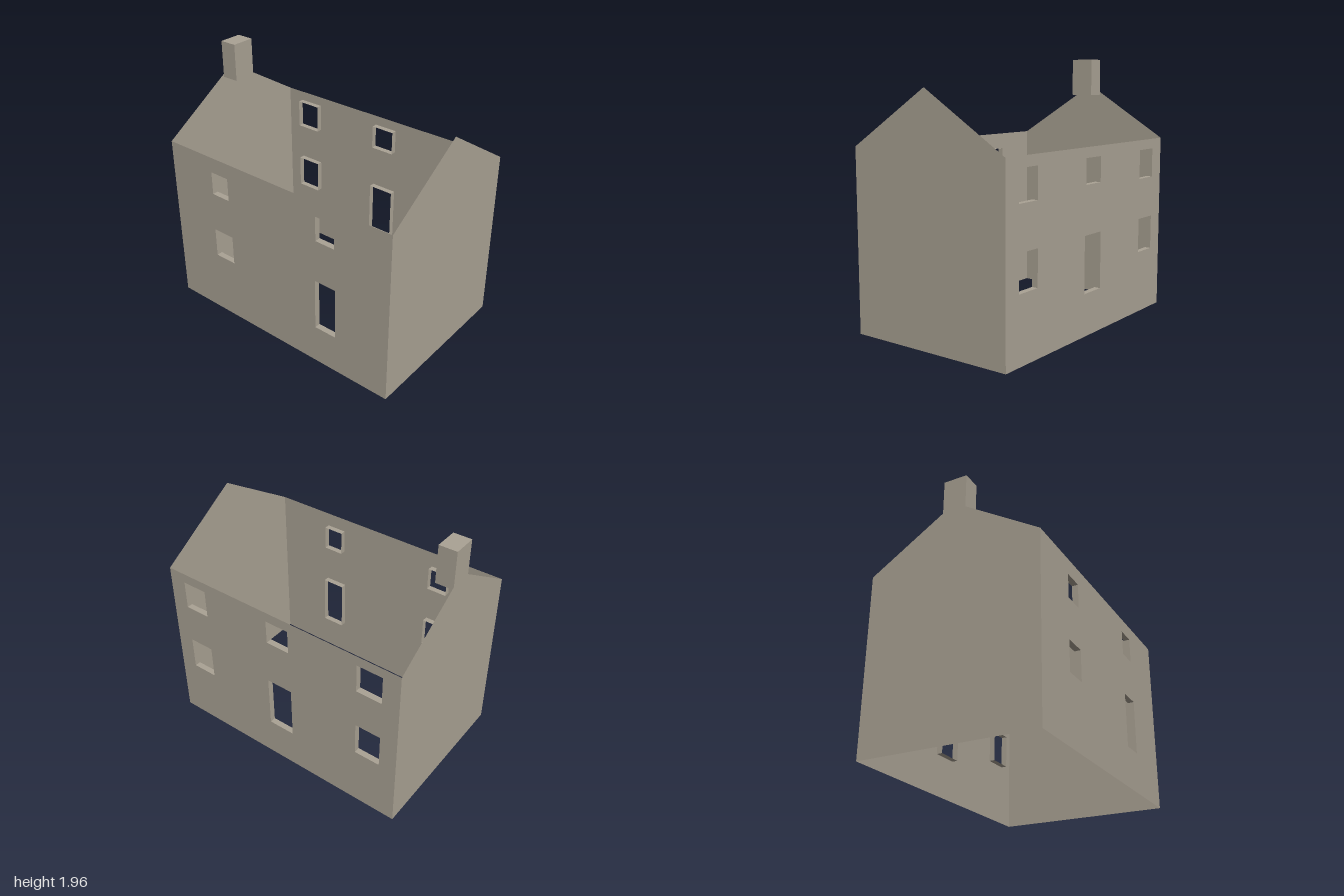
import * as THREE from 'three';

const W = 0.655, L = 1, EAVES = 1.34, RIDGE = 1.75, REVEAL = 0.045;

// openings as [z0, z1, y0, y1]
const leftOpenings = [
  [-0.105, 0.105, 0.31, 0.725], // door
  [-0.095, 0.095, 1.08, 1.265],
];
for (const [z0, z1] of [[0.665, 0.865], [-0.865, -0.665]]) {
  leftOpenings.push([z0, z1, 0.475, 0.735], [z0, z1, 1.045, 1.265]);
}
const rightOpenings = [
  [0.375, 0.555, 0.305, 0.71], // door
  [0.385, 0.545, 1.04, 1.23],
  [-0.6, -0.42, 0.5, 0.73],
  [-0.59, -0.43, 1.04, 1.22],
];

function polygon(points) {
  return new THREE.Shape(points.map(([x, y]) => new THREE.Vector2(x, y)));
}

// box that keeps only its first faces (order: +x, -x, +y, -y, +z, -z)
function openBox(w, h, d, faces) {
  const g = new THREE.BoxGeometry(w, h, d);
  g.setIndex(Array.from(g.index.array).slice(0, faces * 6));
  g.clearGroups();
  return g;
}

export function createModel() {
  const model = new THREE.Group();
  const stone = new THREE.MeshStandardMaterial({ color: 0xaaa294, side: THREE.DoubleSide });
  stone.name = 'stone';

  function add(name, geometry, parent = model) {
    const mesh = new THREE.Mesh(geometry, stone);
    mesh.name = name;
    parent.add(mesh);
    return mesh;
  }

  // long wall with pierced openings; side is +1 (left, +x) or -1 (right, -x)
  function sideWall(name, side, openings) {
    const wall = new THREE.Group();
    wall.name = name;
    const shape = polygon([[-L, 0], [L, 0], [L, EAVES], [-L, EAVES]]);
    for (const [z0, z1, y0, y1] of openings) {
      const u0 = -side * z0, u1 = -side * z1;
      shape.holes.push(polygon([[u0, y0], [u0, y1], [u1, y1], [u1, y0]]));
      // reveal running inwards from the wall face
      const reveal = add('openingReveal', openBox(z1 - z0, y1 - y0, REVEAL, 4), wall);
      reveal.position.set((u0 + u1) / 2, (y0 + y1) / 2, -REVEAL / 2);
    }
    add('wallFace', new THREE.ShapeGeometry(shape), wall);
    wall.rotation.y = side * Math.PI / 2;
    wall.position.x = side * W;
    model.add(wall);
  }
  sideWall('leftWall', 1, leftOpenings);
  sideWall('rightWall', -1, rightOpenings);

  // front gable
  const front = polygon([[-W, 0], [W, 0], [W, EAVES], [0, RIDGE], [-W, EAVES]]);
  add('frontGable', new THREE.ShapeGeometry(front)).position.z = L;

  // back gable, rising into the back of the chimney
  const c = 0.09, top = 1.955, bottom = 1.67, depth = 0.135;
  const shoulder = RIDGE - c * (RIDGE - EAVES) / W;
  const back = polygon([[-W, 0], [W, 0], [W, EAVES], [c, shoulder], [c, top],
    [-c, top], [-c, shoulder], [-W, EAVES]]);
  const backGable = add('backGable', new THREE.ShapeGeometry(back));
  backGable.rotation.y = Math.PI;
  backGable.position.z = -L;

  // chimney, its back closed by the gable
  const chimney = add('chimney', openBox(2 * c, top - bottom, depth, 5));
  chimney.position.set(0, (top + bottom) / 2, -L + depth / 2);

  return model;
}
